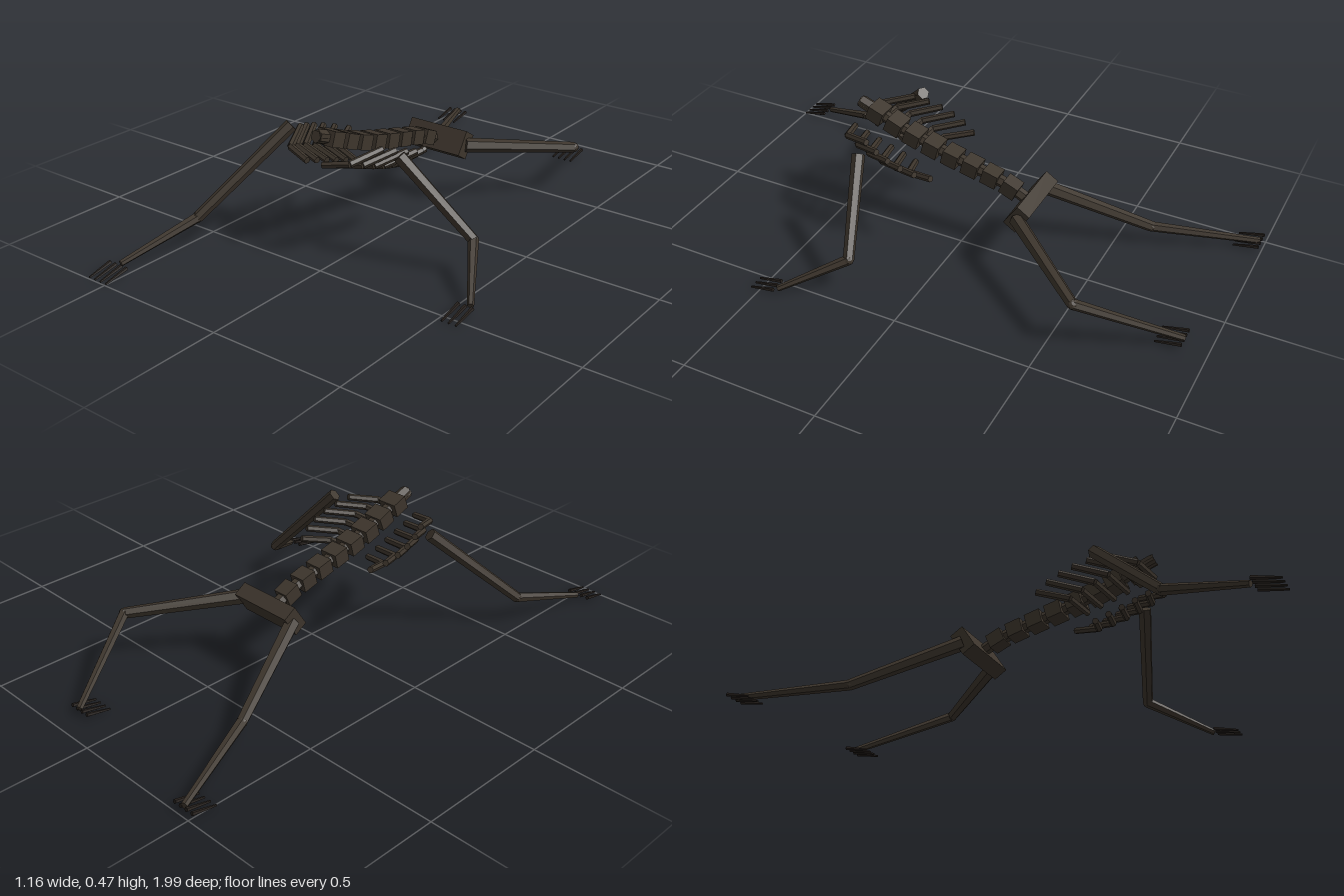
import * as THREE from 'three';

const V = (x, y, z) => new THREE.Vector3(x, y, z);

export function createModel() {
  const root = new THREE.Group();
  root.name = 'skeleton';
  const bone = new THREE.MeshStandardMaterial({ color: 0x3d352c, flatShading: true });
  bone.name = 'dark bone';
  const claw = new THREE.MeshStandardMaterial({ color: 0x26201c, flatShading: true });
  claw.name = 'claw';

  // Tapered bone running from a to b
  function rod(parent, name, a, b, ra, rb, mat = bone, sides = 6) {
    const m = new THREE.Mesh(new THREE.CylinderGeometry(rb, ra, a.distanceTo(b), sides), mat);
    m.position.copy(a).lerp(b, 0.5);
    m.quaternion.setFromUnitVectors(V(0, 1, 0), b.clone().sub(a).normalize());
    m.name = name;
    parent.add(m);
  }

  // Spine: stacked vertebrae over a thin core
  const cx = -0.055;
  const spine = new THREE.Group();
  spine.name = 'spine';
  const curve = new THREE.CatmullRomCurve3([
    [-0.23, 0.238], [-0.15, 0.275], [0, 0.315], [0.12, 0.345],
    [0.25, 0.385], [0.35, 0.425], [0.44, 0.458],
  ].map(([z, y]) => V(cx, y, z)));
  const core = new THREE.Mesh(new THREE.TubeGeometry(curve, 16, 0.022, 6), bone);
  core.name = 'spineCore';
  spine.add(core);
  const count = 8;
  for (let i = 0; i < count; i++) {
    const t = 0.095 + i * 0.113;
    const w = 0.058 + 0.018 * Math.min(1, i / 4);
    const v = new THREE.Mesh(new THREE.BoxGeometry(w, 0.054, 0.06), bone);
    v.position.copy(curve.getPointAt(t));
    v.lookAt(v.position.clone().add(curve.getTangentAt(t)));
    v.name = 'vertebra';
    spine.add(v);
  }
  rod(spine, 'neck', V(cx, 0.425, 0.35), V(cx, 0.458, 0.435), 0.026, 0.024);
  root.add(spine);

  // Pelvis: tilted slab across the hips
  const pelvis = new THREE.Mesh(new THREE.BoxGeometry(0.25, 0.095, 0.055), bone);
  pelvis.position.set(-0.05, 0.234, -0.25);
  pelvis.rotation.x = -0.58;
  pelvis.name = 'pelvis';
  root.add(pelvis);

  // Ribs: six bent pairs hanging below the spine
  const ribs = new THREE.Group();
  ribs.name = 'ribCage';
  const bendOut = [0.13, 0.142, 0.15, 0.15, 0.142, 0.128];
  const tipOut = [0.17, 0.195, 0.205, 0.205, 0.195, 0.178];
  for (let i = 0; i < 6; i++) {
    const z = 0.197 + i * 0.05, y = 0.285 + i * 0.0165;
    for (const s of [-1, 1]) {
      const inner = V(cx + s * 0.033, y, z);
      const bend = V(cx + s * bendOut[i], y + 0.018, z - 0.026);
      const tip = V(cx + s * tipOut[i], y + 0.048, z - 0.135);
      rod(ribs, 'ribInner', inner, bend, 0.012, 0.013);
      rod(ribs, 'ribOuter', bend, tip, 0.013, 0.012);
    }
  }
  root.add(ribs);

  // Limb: upper bone, lower bone and digits reaching forward
  function limb(name, a, b, c, r, digits, digitX, digitZ) {
    const g = new THREE.Group();
    g.name = name;
    rod(g, name + 'Upper', a, b, r[0], r[1]);
    rod(g, name + 'Lower', b, c, r[2], r[3]);
    const joint = new THREE.Mesh(new THREE.IcosahedronGeometry(r[2], 1), bone);
    joint.position.copy(b);
    joint.name = name + 'Joint';
    g.add(joint);
    for (let i = 0; i < digits; i++) {
      const x = digitX + (i - (digits - 1) / 2) * 0.0265;
      rod(g, name + 'Digit', V(x, 0.03, digitZ), V(x, 0.01, digitZ + 0.092), 0.0075, 0.004, claw, 5);
    }
    root.add(g);
  }
  const armR = [0.024, 0.02, 0.019, 0.011], legR = [0.027, 0.02, 0.019, 0.012];
  limb('rightArm', V(-0.283, 0.405, 0.305), V(-0.468, 0.11, 0.6), V(-0.537, 0.032, 0.895), armR, 4, -0.537, 0.905);
  limb('leftArm', V(0.188, 0.405, 0.307), V(0.425, 0.137, 0.219), V(0.56, 0.03, 0.43), armR, 3, 0.547, 0.44);
  limb('rightLeg', V(-0.163, 0.228, -0.255), V(-0.312, 0.075, -0.62), V(-0.465, 0.033, -0.985), legR, 4, -0.467, -0.99);
  limb('leftLeg', V(0.072, 0.235, -0.25), V(0.346, 0.186, -0.577), V(0.165, 0.032, -0.91), legR, 4, 0.161, -0.912);

  return root;
}
